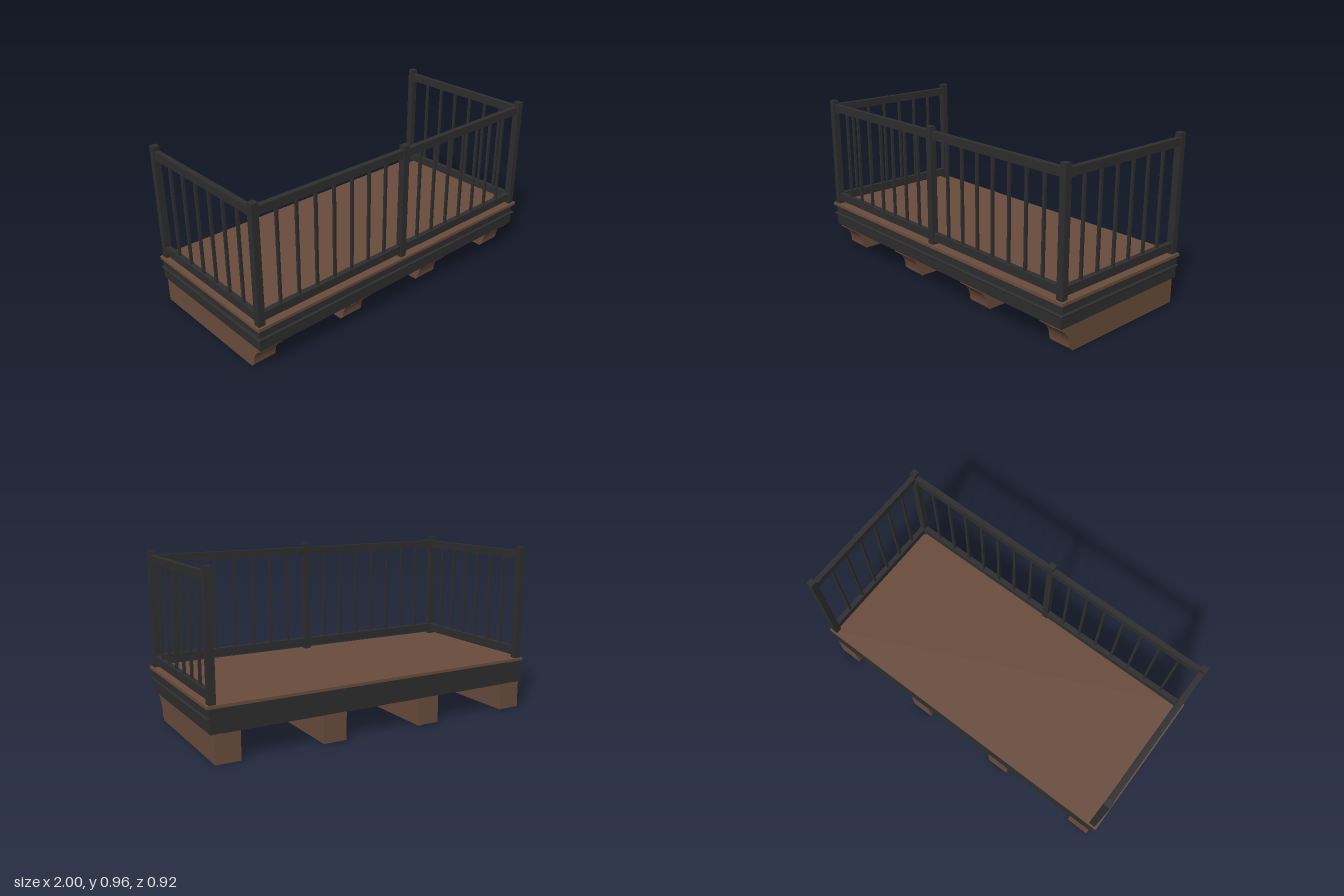
import * as THREE from 'three';

export function createModel() {
  const model = new THREE.Group();
  const wood = new THREE.MeshStandardMaterial({ color: 0x6a4c3c });
  wood.name = 'brown wood';
  const iron = new THREE.MeshStandardMaterial({ color: 0x2e2e2e });
  iron.name = 'dark iron';

  function add(name, geometry, material, parent = model) {
    const mesh = new THREE.Mesh(geometry, material);
    mesh.name = name;
    parent.add(mesh);
    return mesh;
  }
  // Box given by its limits on each axis
  function box(name, material, [x0, x1], [y0, y1], [z0, z1], parent) {
    const mesh = add(name, new THREE.BoxGeometry(x1 - x0, y1 - y0, z1 - z0), material, parent);
    mesh.position.set((x0 + x1) / 2, (y0 + y1) / 2, (z0 + z1) / 2);
    return mesh;
  }
  const around = (c, width) => [c - width / 2, c + width / 2];

  // Floor and the frame under it
  box('deckFloor', wood, [-1, 1], [0.284, 0.3], [-0.46, 0.462]);
  box('deckFrame', iron, [-0.985, 0.985], [0.156, 0.284], [-0.46, 0.447]);

  // Moulding with a rounded edge along the front and both sides
  const moulding = new THREE.Group();
  moulding.name = 'moulding';
  model.add(moulding);
  box('mouldingStrip', iron, [-0.993, 0.993], [0.222, 0.234], [-0.46, 0.455], moulding);
  const bead = (length) => new THREE.CylinderGeometry(0.006, 0.006, length, 12);
  const frontBead = add('frontBead', bead(1.986), iron, moulding);
  frontBead.rotation.z = Math.PI / 2;
  frontBead.position.set(0, 0.228, 0.455);
  for (const side of [-1, 1]) {
    const sideBead = add('sideBead', bead(0.915), iron, moulding);
    sideBead.rotation.x = Math.PI / 2;
    sideBead.position.set(side * 0.993, 0.228, -0.0025);
    add('beadCorner', new THREE.SphereGeometry(0.006, 12, 8), iron, moulding)
      .position.set(side * 0.993, 0.228, 0.455);
  }

  // Support beams with a scooped front end
  const profile = new THREE.Shape();
  profile.moveTo(-0.46, 0);
  profile.lineTo(0.34, 0);
  profile.lineTo(0.36, 0.02);
  profile.bezierCurveTo(0.362, 0.075, 0.38, 0.105, 0.433, 0.14);
  profile.lineTo(0.433, 0.157);
  profile.lineTo(-0.46, 0.157);
  profile.closePath();
  const beamWidth = 0.136;
  const beamGeometry = new THREE.ExtrudeGeometry(profile, {
    depth: beamWidth, bevelEnabled: false, curveSegments: 8,
  });
  beamGeometry.translate(0, 0, -beamWidth / 2);
  beamGeometry.rotateY(-Math.PI / 2);
  for (let i = 0; i < 4; i++) {
    add('supportBeam', beamGeometry, wood).position.x = -0.903 + i * 0.6;
  }

  // Railing posts
  const railing = new THREE.Group();
  railing.name = 'railing';
  model.add(railing);
  const postX = 0.967, frontZ = 0.43, backZ = -0.432, postWidth = 0.038;
  for (const [x, z] of [[-postX, frontZ], [0, frontZ], [postX, frontZ], [-postX, backZ], [postX, backZ]]) {
    box('post', iron, around(x, postWidth), [0.284, 0.965], around(z, postWidth), railing);
  }

  // Upper and lower rails
  const railZ = 0.425, railWidth = 0.03;
  for (const y of [[0.895, 0.94], [0.321, 0.367]]) {
    box('frontRail', iron, [-postX, postX], y, around(railZ, railWidth), railing);
    for (const side of [-1, 1]) {
      box('sideRail', iron, around(side * postX, railWidth), y, [backZ, frontZ], railing);
    }
  }

  // Balusters: seven in each front half, six on each side
  const balusterY = [0.36, 0.9], balusterWidth = 0.014;
  for (const side of [-1, 1]) {
    for (let i = 0; i < 7; i++) {
      const x = side * (0.13 + i * 0.1175);
      box('frontBaluster', iron, around(x, balusterWidth), balusterY, around(railZ, balusterWidth), railing);
    }
    for (let i = 0; i < 6; i++) {
      const z = 0.302 - i * 0.1188;
      box('sideBaluster', iron, around(side * postX, balusterWidth), balusterY, around(z, balusterWidth), railing);
    }
  }

  return model;
}
